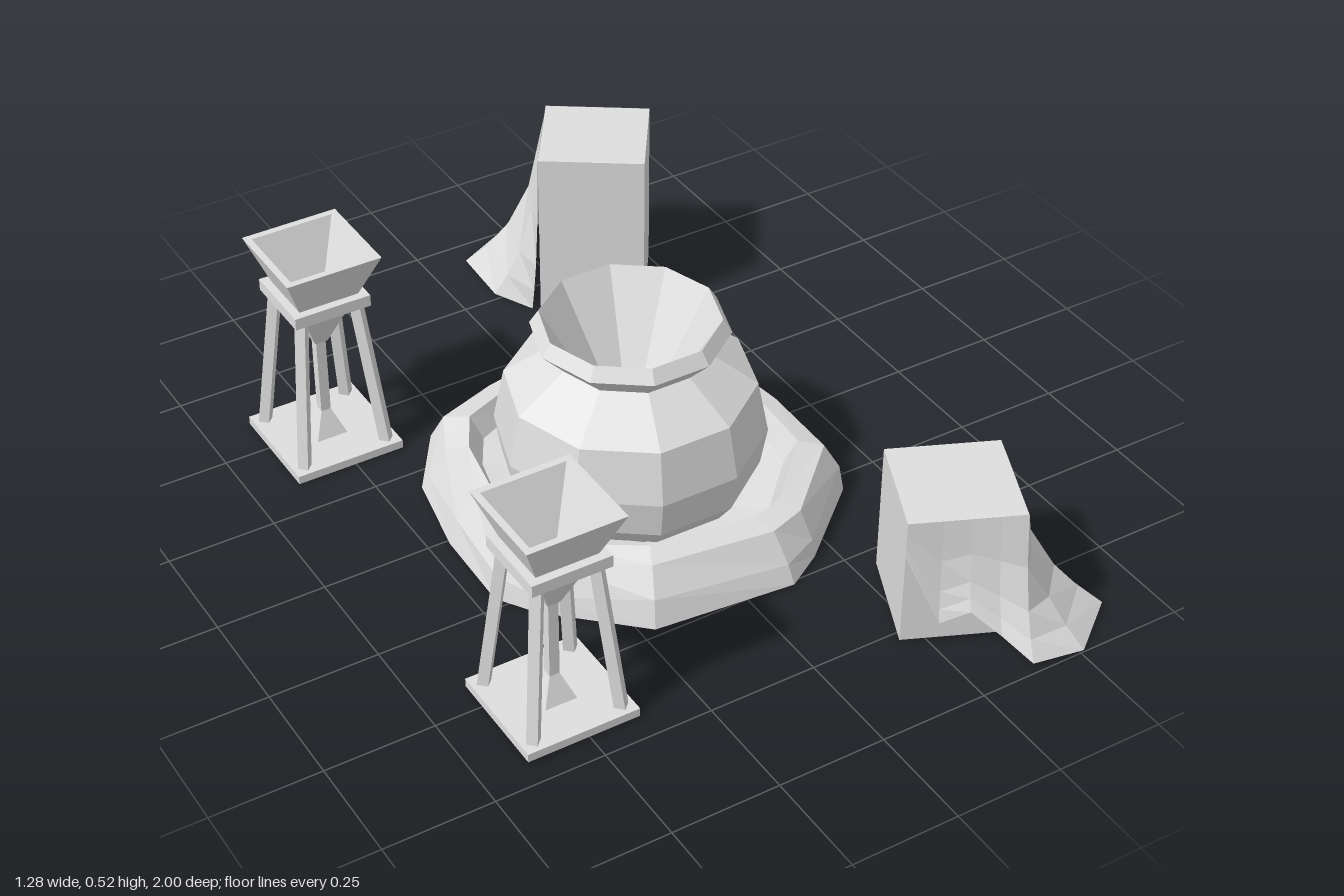
import * as THREE from 'three';

const stone = new THREE.MeshStandardMaterial({ color: 0xdedede });
stone.name = 'light grey';
stone.flatShading = true;
stone.side = THREE.DoubleSide;

function add(parent, name, geometry, x = 0, y = 0, z = 0) {
  const mesh = new THREE.Mesh(geometry, stone);
  mesh.name = name;
  mesh.position.set(x, y, z);
  parent.add(mesh);
  return mesh;
}

const lathe = (profile, sides, start) =>
  new THREE.LatheGeometry(profile.map(([r, y]) => new THREE.Vector2(r, y)), sides, start);

// Square lathe whose profile gives half widths instead of radii
const squareLathe = (profile) =>
  lathe(profile.map(([h, y]) => [h * Math.SQRT2, y]), 4, Math.PI / 4);

// Skin a list of rows, each with the same number of [x, y, z] points
function skin(rows) {
  const n = rows[0].length;
  const index = [];
  for (let j = 0; j < rows.length - 1; j++) {
    for (let i = 0; i < n - 1; i++) {
      const a = j * n + i, b = a + 1, d = a + n, c = d + 1;
      index.push(a, b, d, c, d, b);
    }
  }
  const g = new THREE.BufferGeometry();
  g.setAttribute('position', new THREE.Float32BufferAttribute(rows.flat(2), 3));
  g.setIndex(index);
  g.computeVertexNormals();
  return g;
}

// Ten-sided pot with a flared rim and a conical hollow
function buildPot(parent) {
  const profile = [
    [0, 0.03], [0.22, 0.03], [0.285, 0.12], [0.3, 0.21], [0.276, 0.333],
    [0.165, 0.41], [0.217, 0.465], [0.197, 0.496], [0, 0.16],
  ];
  add(parent, 'pot', lathe(profile, 10, Math.PI / 2), -0.03, 0, 0.07);
}

// Irregular hollow rock kerb, with a low ledge reaching in to the pot
function buildKerb(parent) {
  const cx = -0.025, cz = 0.066;
  const outline = [
    [-0.045, -0.39], [0.135, -0.325], [0.24, -0.24], [0.38, -0.09], [0.42, 0.06],
    [0.385, 0.3], [0.2, 0.46], [0.11, 0.515], [-0.22, 0.485], [-0.405, 0.31],
    [-0.46, 0.225], [-0.455, 0.015], [-0.415, -0.19], [-0.35, -0.28], [-0.19, -0.355],
  ].reverse();
  outline.push(outline[0]);
  // Each section: outline scale, share of an even circle, scale wobble, height, height wobble
  const sections = [
    [1, 0, 0, 0.01, 0], [0.97, 0, 0.015, 0.06, 0.015], [0.89, 0.05, 0.03, 0.126, 0.008],
    [0.79, 0.4, 0.02, 0.138, 0.01], [0.74, 0.7, 0.02, 0.085, 0.006], [0.575, 1, 0, 0.075, 0],
  ];
  const rows = sections.map(([scale, even, sway, y, wobble]) => outline.map(([x, z], i) => {
    const k = i % (outline.length - 1);
    const dx = x - cx, dz = z - cz, r = Math.hypot(dx, dz);
    const s = (scale + sway * Math.sin(k * 1.7)) * (r * (1 - even) + 0.44 * even) / r;
    return [cx + dx * s, y + wobble * Math.sin(k * 2.3), cz + dz * s];
  }));
  add(parent, 'rockKerb', skin(rows));
}

// Square hopper on four splayed legs
function buildHopper(parent, x, z) {
  const hopper = new THREE.Group();
  hopper.name = 'hopperStand';
  hopper.position.set(x, -0.003, z);
  parent.add(hopper);

  add(hopper, 'basePlate', new THREE.BoxGeometry(0.26, 0.02, 0.26), 0, 0.022, 0);
  add(hopper, 'topFrame', squareLathe([
    [0.068, 0.395], [0.091, 0.395], [0.091, 0.423], [0.068, 0.423],
  ]));
  add(hopper, 'funnel', squareLathe([
    [0.037, 0.011], [0.037, 0.032], [0.0117, 0.093], [0.0117, 0.28],
    [0.015, 0.283], [0.113, 0.527], [0.097, 0.527], [0, 0.3],
  ]));

  for (const sx of [-1, 1]) {
    for (const sz of [-1, 1]) {
      const foot = new THREE.Vector3(sx * 0.102, 0.03, sz * 0.102);
      const head = new THREE.Vector3(sx * 0.066, 0.4, sz * 0.066);
      const dir = head.clone().sub(foot);
      const leg = add(hopper, 'leg', new THREE.CylinderGeometry(0.017, 0.017, dir.length(), 4));
      leg.position.copy(foot).add(head).multiplyScalar(0.5);
      leg.quaternion.setFromUnitVectors(new THREE.Vector3(0, 1, 0), dir.normalize());
    }
  }
}

// Upright open-bottomed block with a sheet slumping from its top to the ground
function buildBlock(parent, x, z, height, yaw) {
  const block = new THREE.Group();
  block.name = 'drapedBlock';
  block.position.set(x, 0, z);
  block.rotation.y = yaw;
  parent.add(block);

  add(block, 'block', squareLathe([[0.125, 0.012], [0.125, height], [0, height]]));

  // Columns of the sheet: top x, z, then hem x, z and hem height as a share
  const columns = [
    [0.125, -0.126, 0.145, -0.125, 0], [0.126, -0.07, 0.24, -0.08, 0.02],
    [0.126, 0.01, 0.325, 0.06, 0.02], [0.126, 0.07, 0.25, 0.2, 0.01],
    [0.126, 0.126, 0.134, 0.235, 0.03], [0.07, 0.126, 0.075, 0.19, 0.16],
    [0.01, 0.126, 0.01, 0.168, 0.33], [-0.05, 0.126, -0.05, 0.148, 0.2],
    [-0.125, 0.126, -0.125, 0.127, 0.73],
  ];
  const rows = [0, 0.4, 0.7, 0.87, 1].map((s) => columns.map(([tx, tz, hx, hz, hem]) => {
    const k = 0.35 * s + 0.65 * s ** 3;
    const y = 0.006 + (height - 0.006) * (1 - s * (1 - hem));
    return [tx + (hx - tx) * k, y, tz + (hz - tz) * k];
  }));
  add(block, 'slumpedSheet', skin(rows));
}

export function createModel() {
  const model = new THREE.Group();
  model.name = 'potAndHoppers';
  buildPot(model);
  buildKerb(model);
  buildHopper(model, -0.513, -0.472);
  buildHopper(model, -0.513, 0.561);
  buildBlock(model, 0.362, 0.714, 0.323, -0.42);
  buildBlock(model, 0.332, -0.692, 0.427, 2.545);
  return model;
}
